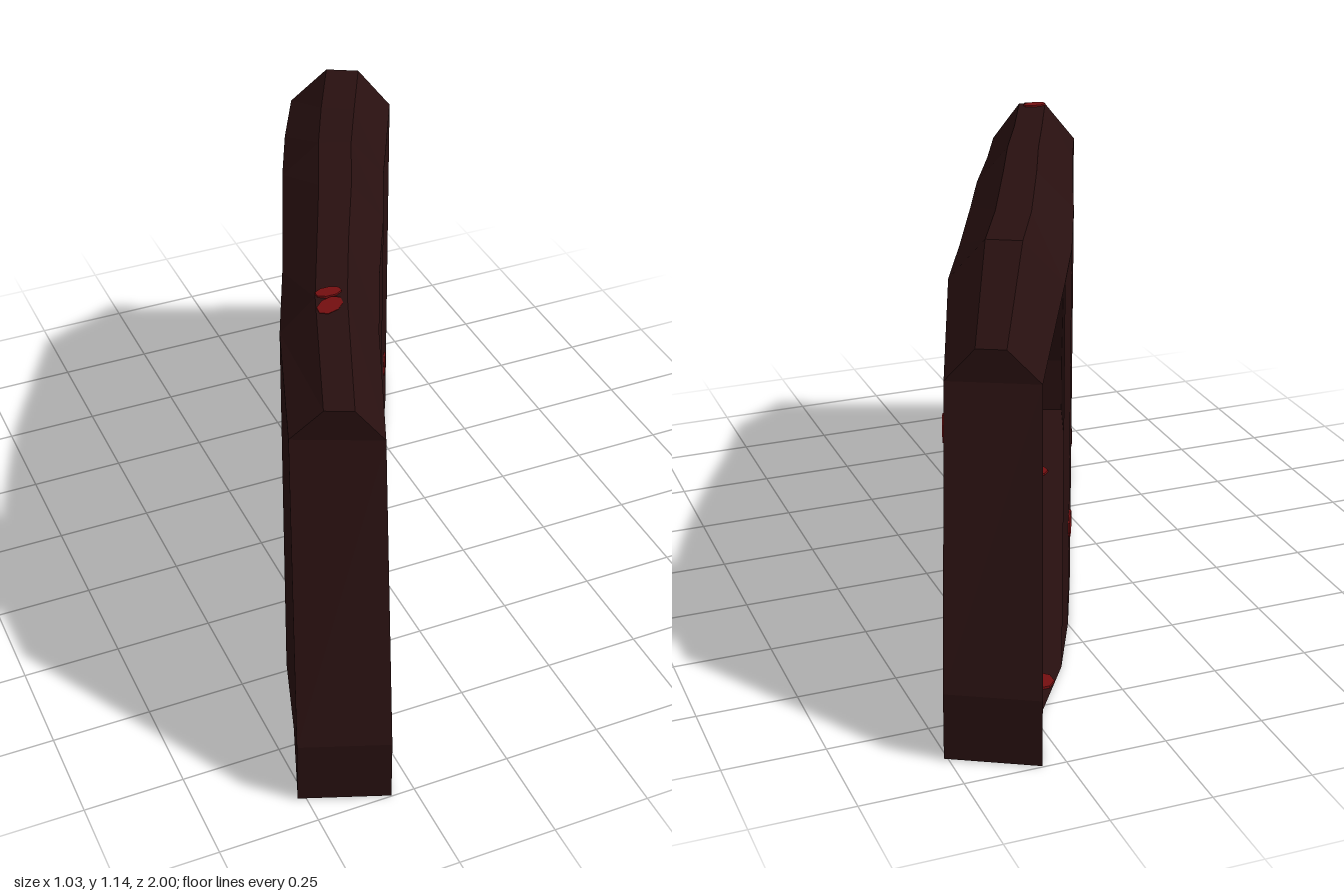
import * as THREE from 'three';

// Stations along the slab: [x, z] on the left (+x) and right (-x) wall
const LEFT = [[-0.31, 1], [-0.24, 0.79], [-0.16, 0.57], [-0.06, 0.35], [0.05, 0.13],
  [0.14, -0.07], [0.24, -0.27], [0.34, -0.47], [0.43, -0.69], [0.51, -0.89]];
const RIGHT = [[-0.52, 0.92], [-0.44, 0.7], [-0.37, 0.48], [-0.27, 0.25], [-0.18, 0.03],
  [-0.1, -0.17], [0, -0.4], [0.1, -0.6], [0.23, -0.79], [0.31, -1]];
const SHOULDER = [0.17, 0.9, 1.03, 1.04, 1.045, 1.045, 1.02, 1.01, 0.85, 0.17];
const RIDGE = [0, 0.98, 1.13, 1.13, 1.14, 1.14, 1.11, 1.11, 0.93, 0];
const LAST = LEFT.length - 1;

export function createModel() {
  const group = new THREE.Group();
  const stone = new THREE.MeshStandardMaterial({ color: 0x281010, flatShading: true, side: THREE.DoubleSide });
  stone.name = 'dark maroon';
  const red = new THREE.MeshStandardMaterial({ color: 0x740f10, flatShading: true });
  red.name = 'deep red';

  // Point at station i, fraction f across from the right wall to the left wall
  const at = (i, f, y) => [
    THREE.MathUtils.lerp(RIGHT[i][0], LEFT[i][0], f), y,
    THREE.MathUtils.lerp(RIGHT[i][1], LEFT[i][1], f)];

  function addPanels(name, quads) {
    const geo = new THREE.BufferGeometry();
    const pos = quads.flatMap(([a, b, c, d]) => [a, b, c, a, c, d].flat());
    geo.setAttribute('position', new THREE.Float32BufferAttribute(pos, 3));
    geo.computeVertexNormals();
    const mesh = new THREE.Mesh(geo, stone);
    mesh.name = name;
    group.add(mesh);
  }

  // Strip of quads between two lines that run along the stations
  const strip = (from, to, lineA, lineB) => {
    const quads = [];
    for (let i = from; i < to; i++) quads.push([lineA(i), lineA(i + 1), lineB(i + 1), lineB(i)]);
    return quads;
  };
  const floorLine = f => i => at(i, f, 0);
  const shoulderLine = f => i => at(i, f, SHOULDER[i]);
  const ridgeLine = f => i => at(i, f, RIDGE[i]);
  const IN = 0.36, OUT = 0.68;

  // Each side wall is open over two bays at one end
  addPanels('leftWall', strip(2, LAST, floorLine(1), shoulderLine(1)));
  addPanels('rightWall', strip(0, 7, shoulderLine(0), floorLine(0)));
  addPanels('floor', strip(0, LAST, floorLine(0), floorLine(1)));
  addPanels('leftBevel', strip(1, LAST - 1, shoulderLine(1), ridgeLine(OUT)));
  addPanels('rightBevel', strip(1, LAST - 1, ridgeLine(IN), shoulderLine(0)));
  addPanels('ridge', strip(1, LAST - 1, ridgeLine(OUT), ridgeLine(IN)));

  // Ends: upright foot, long slope, small trapezoid under the ridge
  const endQuads = (e, n) => {
    const quads = [
      [at(e, 0, 0), at(e, 1, 0), at(e, 1, SHOULDER[e]), at(e, 0, SHOULDER[e])],
      [at(e, 0, SHOULDER[e]), at(e, 1, SHOULDER[e]), at(n, 1, SHOULDER[n]), at(n, 0, SHOULDER[n])],
      [at(n, 0, SHOULDER[n]), at(n, 1, SHOULDER[n]), at(n, OUT, RIDGE[n]), at(n, IN, RIDGE[n])]];
    return e === 0 ? quads : quads.map(q => q.reverse());
  };
  addPanels('frontEnd', endQuads(0, 1));
  addPanels('backEnd', endQuads(LAST, LAST - 1));

  // Thin eight-sided red spots
  const spotGeo = new THREE.CylinderGeometry(0.54, 0.54, 1, 8).rotateY(Math.PI / 8);
  function addSpot(name, position, normal, width, height) {
    const mesh = new THREE.Mesh(spotGeo, red);
    mesh.name = name;
    const n = new THREE.Vector3(...normal).normalize();
    const up = Math.abs(n.y) > 0.7 ? new THREE.Vector3(0, 0, 1) : new THREE.Vector3(0, 1, 0);
    const across = new THREE.Vector3().crossVectors(n, up).normalize();
    const along = new THREE.Vector3().crossVectors(across, n);
    mesh.quaternion.setFromRotationMatrix(new THREE.Matrix4().makeBasis(across, n, along));
    mesh.position.set(...position);
    mesh.scale.set(width, 0.009, height);
    group.add(mesh);
  }
  function addWallSpot(name, line, sign, t, y, width, height) {
    const i = Math.floor(t), [x0, z0] = line[i], [x1, z1] = line[i + 1], f = t - i;
    addSpot(name, [x0 + (x1 - x0) * f, y, z0 + (z1 - z0) * f],
      [sign * (z0 - z1), 0, sign * (x1 - x0)], width, height);
  }
  addWallSpot('leftSpotMiddle', LEFT, 1, 3.82, 0.325, 0.065, 0.07);
  addWallSpot('leftSpotLow', LEFT, 1, 6.05, 0.285, 0.06, 0.065);
  addWallSpot('leftSpotHigh', LEFT, 1, 7.95, 0.73, 0.03, 0.07);
  addWallSpot('rightSpotLow', RIGHT, -1, 6.02, 0.29, 0.06, 0.065);
  addWallSpot('rightSpotMiddle', RIGHT, -1, 4.05, 0.325, 0.025, 0.05);
  addSpot('floorSpotFront', [-0.27, 0.002, 0.5], [0, 1, 0], 0.06, 0.06);
  addSpot('floorSpotBack', [0.18, 0.002, -0.65], [0, 1, 0], 0.07, 0.07);
  addSpot('ridgeSpotFlat', [-0.26, 1.13, 0.507], [0, 1, 0], 0.06, 0.035);
  addSpot('ridgeSpotSlope', [-0.27, 1.118, 0.54], [-0.19, 0.83, 0.52], 0.06, 0.035);

  return group;
}
